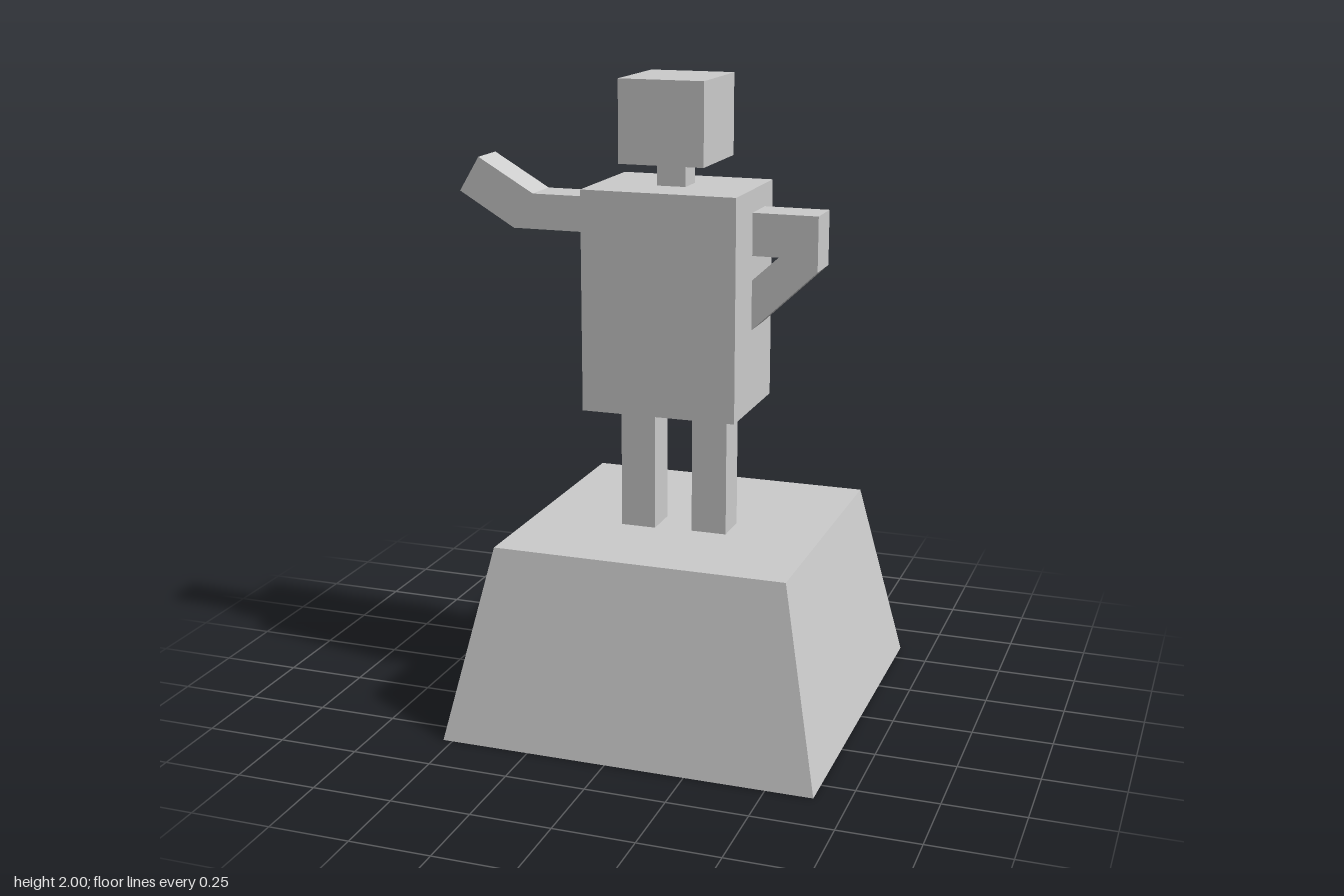
import * as THREE from 'three';

const material = new THREE.MeshStandardMaterial({ color: 0xcccccc, flatShading: true });

export function createModel() {
  const group = new THREE.Group();
  group.name = 'blockStatue';

  const add = (name, geometry) => {
    const mesh = new THREE.Mesh(geometry, material);
    mesh.name = name;
    group.add(mesh);
    return mesh;
  };

  // Box given by its limits on each axis
  const box = (name, [x0, x1], [y0, y1], [z0, z1]) =>
    add(name, new THREE.BoxGeometry(x1 - x0, y1 - y0, z1 - z0))
      .position.set((x0 + x1) / 2, (y0 + y1) / 2, (z0 + z1) / 2);

  // Front outline extruded between two depths
  const slab = (name, outline, [z0, z1]) => {
    const shape = new THREE.Shape(outline.map(([x, y]) => new THREE.Vector2(x, y)));
    add(name, new THREE.ExtrudeGeometry(shape, { depth: z1 - z0, bevelEnabled: false }))
      .position.z = z0;
  };

  // Tapered square pedestal
  const pedestal = new THREE.CylinderGeometry(0.46 * Math.SQRT2, 0.588 * Math.SQRT2, 0.6, 4);
  pedestal.rotateY(Math.PI / 4);
  add('pedestal', pedestal).position.set(0.058, 0.3, 0);

  // Figure
  box('rightLeg', [-0.11, 0], [0.6, 1], [0.01, 0.127]);
  box('leftLeg', [0.117, 0.228], [0.6, 1], [0, 0.116]);
  box('torso', [-0.19, 0.293], [0.997, 1.675], [-0.13, 0.25]);
  box('neck', [0, 0.09], [1.675, 1.75], [0.013, 0.104]);
  box('head', [-0.085, 0.18], [1.75, 2], [-0.088, 0.207]);

  // Right arm stretched out with the forearm raised
  slab('rightArm', [
    [-0.19, 1.52], [-0.19, 1.63], [-0.405, 1.63],
    [-0.585, 1.735], [-0.65, 1.627], [-0.47, 1.52],
  ], [-0.024, 0.104]);

  // Left arm bent with the hand on the hip
  slab('leftArm', [
    [0.293, 1.605], [0.293, 1.475], [0.375, 1.475], [0.293, 1.4],
    [0.293, 1.247], [0.495, 1.437], [0.495, 1.605],
  ], [-0.047, 0.081]);

  return group;
}
